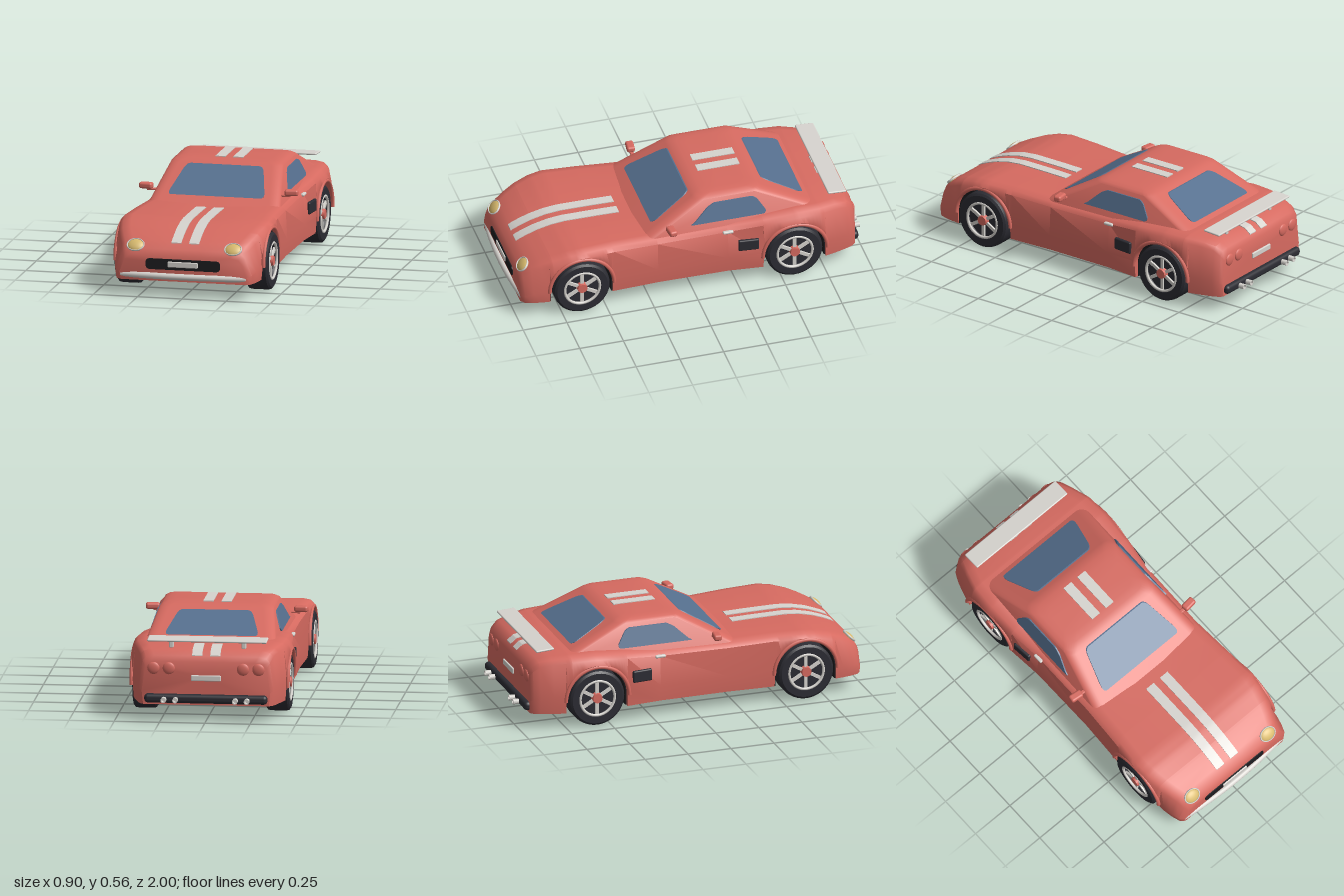
import * as THREE from 'three';
import { toCreasedNormals } from 'three/addons/utils/BufferGeometryUtils.js';
import { RoundedBoxGeometry } from 'three/addons/geometries/RoundedBoxGeometry.js';

const mat = (name, color, side = THREE.FrontSide) => {
  const m = new THREE.MeshStandardMaterial({ color, side });
  m.name = name;
  return m;
};
const paint = mat('coral paint', 0xd66a60);
const glass = mat('blue glass', 0x56708f);
const rubber = mat('dark rubber', 0x2c2c33);
const black = mat('black lining', 0x1d1d20);
const silver = mat('pale silver', 0xd6d3ce);
const lens = mat('yellow lens', 0xd8ba6e);

// Body stations: z, half width, deck height, centre dip, inset of the upper edge
const KEYS = [
  [0.975, 0.36, 0.235, 0, 0.03], [0.955, 0.385, 0.265, 0, 0.04], [0.91, 0.4, 0.3, 0, 0.04],
  [0.86, 0.41, 0.325, 0.003, 0.03], [0.8, 0.415, 0.35, 0.006, 0.015], [0.72, 0.422, 0.373, 0.01, 0.005],
  [0.64, 0.425, 0.385, 0.014, 0], [0.45, 0.415, 0.385, 0.015, 0.005], [0.2, 0.405, 0.375, 0.01, 0.01],
  [-0.2, 0.41, 0.38, 0, 0.012], [-0.4, 0.43, 0.4, 0, 0.008], [-0.6, 0.44, 0.415, 0, 0.012],
  [-0.72, 0.435, 0.412, 0, 0.015], [-0.82, 0.41, 0.402, 0, 0.02], [-0.89, 0.388, 0.388, 0, 0.02],
  [-0.925, 0.372, 0.36, 0, 0.02], [-0.94, 0.355, 0.33, 0, 0.02],
];
const AXLES = [0.64, -0.575], ARCH = 0.178, AXLE_Y = 0.16, FLOOR = 0.09;

function station(z) {
  let i = 0;
  while (i < KEYS.length - 2 && z < KEYS[i + 1][0]) i++;
  const [a, b] = [KEYS[i], KEYS[i + 1]];
  const t = THREE.MathUtils.clamp((a[0] - z) / (a[0] - b[0]), 0, 1);
  return a.map((v, k) => v + (b[k] - v) * t);
}
const deck = z => { const s = station(z); return s[2] - s[3]; };

// Skin between rings that run counter-clockwise seen from the first ring's side
function loft(rings) {
  const pos = [], n = rings[0].length;
  const tri = (...p) => p.forEach(v => pos.push(v.x, v.y, v.z));
  const mid = r => r.reduce((s, v) => s.add(v), new THREE.Vector3()).divideScalar(n);
  const first = rings[0], last = rings[rings.length - 1], c0 = mid(first), c1 = mid(last);
  for (let j = 0; j < n; j++) {
    const k = (j + 1) % n;
    for (let i = 0; i < rings.length - 1; i++) {
      const [a, b] = [rings[i], rings[i + 1]];
      tri(a[j], b[j], a[k]);
      tri(a[k], b[j], b[k]);
    }
    tri(c0, first[j], first[k]);
    tri(c1, last[k], last[j]);
  }
  const g = new THREE.BufferGeometry();
  g.setAttribute('position', new THREE.Float32BufferAttribute(pos, 3));
  return toCreasedNormals(g, 0.7);
}

function bodyRing(z) {
  const [, w, h, dip, inset] = station(z);
  let b = FLOOR;
  for (const c of AXLES) {
    const d = Math.abs(z - c);
    if (d < ARCH) b = AXLE_Y + Math.sqrt(ARCH * ARCH - d * d);
  }
  const hs = h - 0.03;
  const half = [[w - 0.008, b], [w, b + 0.35 * (hs - b)], [w - inset, hs],
    [w - inset - 0.02, h - 0.009], [w - inset - 0.065, h], [0.1, h - dip]];
  const pts = [[0, b], ...half, [0, h - dip], ...half.map(([x, y]) => [-x, y]).reverse()];
  return pts.map(([x, y]) => new THREE.Vector3(x, y, z));
}

function bodyGeometry() {
  const zs = KEYS.map(k => k[0]);
  for (const c of AXLES) {
    for (const s of [-1, 1]) zs.push(c + s * ARCH * 1.001);
    for (let i = 0; i <= 20; i++) zs.push(c + 0.999 * ARCH * Math.cos(i * Math.PI / 20));
  }
  return loft(zs.sort((a, b) => b - a).map(bodyRing));
}

// Cabin planes, straight from sill to roof edge
const along = (y, lo, hi) => lo + (hi - lo) * (y - 0.36) / 0.175;
const cabinFront = y => along(y, 0.275, -0.03);
const cabinBack = y => along(y, -0.81, -0.43);
const cabinSide = y => along(y, 0.372, 0.315);

function cabinGeometry() {
  const ring = (y, zf, zb, hw) => {
    const r = 0.055, pts = [];
    [[1, zb], [-1, zb], [-1, zf], [1, zf]].forEach(([sx, z], q) => {
      for (let i = 0; i <= 6; i++) {
        const a = (q + i / 6) * Math.PI / 2;
        pts.push(new THREE.Vector3(sx * (hw - r) + r * Math.cos(a), y, z + (z === zb ? r : -r) - r * Math.sin(a)));
      }
    });
    return pts;
  };
  const wall = y => ring(y, cabinFront(y), cabinBack(y), cabinSide(y));
  return loft([ring(0.556, -0.13, -0.33, 0.24), ring(0.553, -0.085, -0.375, 0.275),
    ring(0.546, -0.05, -0.41, 0.3), wall(0.535), wall(0.36)]);
}

// Polygon with softened corners
function softShape(pts, r) {
  const s = new THREE.Shape(), v = pts.map(p => new THREE.Vector2(...p));
  v.forEach((p, i) => {
    const to = q => p.clone().add(q.clone().sub(p).setLength(r));
    const a = to(v[(i + v.length - 1) % v.length]), b = to(v[(i + 1) % v.length]);
    if (i) s.lineTo(a.x, a.y); else s.moveTo(a.x, a.y);
    s.quadraticCurveTo(p.x, p.y, b.x, b.y);
  });
  s.closePath();
  return s;
}
const slab = (pts, r, depth) => new THREE.ExtrudeGeometry(softShape(pts, r), { depth, bevelEnabled: false, curveSegments: 8 });
const rect = (w, h) => [[-w / 2, -h / 2], [w / 2, -h / 2], [w / 2, h / 2], [-w / 2, h / 2]];

// Moves every vertex by a rule
function warp(g, rule) {
  const p = g.attributes.position, v = new THREE.Vector3();
  for (let i = 0; i < p.count; i++) {
    rule(v.fromBufferAttribute(p, i));
    p.setXYZ(i, v.x, v.y, v.z);
  }
  g.computeVertexNormals();
  return g;
}

export function createModel() {
  const car = new THREE.Group();
  car.name = 'sportsCar';
  const add = (parent, name, geo, material, x = 0, y = 0, z = 0) => {
    const m = new THREE.Mesh(geo, material);
    m.name = name;
    m.position.set(x, y, z);
    parent.add(m);
    return m;
  };
  const box = (w, h, d, r) => new RoundedBoxGeometry(w, h, d, 3, r);

  add(car, 'body', bodyGeometry(), paint);
  add(car, 'cabin', cabinGeometry(), paint);

  // Windscreens lie on the sloping cabin ends
  const screen = (y0, y1, w0, w1) => [[-w0, y0], [w0, y0], [w1, y1], [-w1, y1]];
  add(car, 'windscreen', warp(slab(screen(0.405, 0.534, 0.275, 0.215), 0.025, 0.008),
    v => { v.z += cabinFront(v.y) - 0.001; }), glass);
  add(car, 'rearWindow', warp(slab(screen(0.428, 0.528, 0.262, 0.2), 0.025, 0.008),
    v => { v.z += cabinBack(v.y) - 0.007; }), glass);

  // Twin stripes follow the bonnet, roof and tail
  for (const x of [-0.05, 0.05]) {
    for (const [name, z0, z1, top] of [['bonnetStripe', 0.92, 0.33, deck], ['roofStripe', -0.12, -0.36, () => 0.5555], ['tailStripe', -0.8, -0.925, deck]]) {
      const g = new THREE.BoxGeometry(0.056, 0.009, z0 - z1, 1, 1, 32).translate(x, 0, (z0 + z1) / 2);
      add(car, name, toCreasedNormals(warp(g, v => { v.y += top(v.z); }), 0.6), silver);
    }
  }

  // Nose
  const bumper = new THREE.CapsuleGeometry(0.0175, 0.7, 6, 16, 24).rotateZ(Math.PI / 2);
  add(car, 'frontBumper', warp(bumper, v => { v.z -= 0.025 * (v.x / 0.37) ** 2; }), silver, 0, 0.118, 0.982);
  add(car, 'grille', slab(rect(0.42, 0.06), 0.025, 0.008), black, 0, 0.185, 0.972);
  add(car, 'frontPlate', box(0.17, 0.032, 0.014, 0.005), silver, 0, 0.186, 0.98);

  // Tail
  add(car, 'rearBumper', box(0.68, 0.05, 0.05, 0.02), rubber, 0, 0.125, -0.942);
  add(car, 'rearPlate', box(0.165, 0.032, 0.014, 0.005), silver, 0, 0.24, -0.942);
  add(car, 'spoilerWing', box(0.66, 0.012, 0.105, 0.006), silver, 0, 0.439, -0.845).rotation.x = -0.06;

  // Wheel arch linings
  for (const z of AXLES) {
    const s = new THREE.Shape(), inner = ARCH - 0.006, y0 = FLOOR - AXLE_Y;
    s.moveTo(ARCH, y0).lineTo(ARCH, 0).absarc(0, 0, ARCH, 0, Math.PI, false).lineTo(-ARCH, y0);
    s.lineTo(-inner, y0).lineTo(-inner, 0).absarc(0, 0, inner, Math.PI, 0, true).lineTo(inner, y0);
    const g = new THREE.ExtrudeGeometry(s, { depth: 0.8, bevelEnabled: false, curveSegments: 24 });
    add(car, 'archLining', g.translate(0, 0, -0.4).rotateY(Math.PI / 2), black, 0, AXLE_Y, z);
  }

  // Tyre profile: radius, distance along the axle
  const tyre = new THREE.LatheGeometry([[0, -0.06], [0.1, -0.06], [0.105, -0.065], [0.145, -0.065], [0.157, -0.056], [0.16, -0.04],
    [0.16, 0.04], [0.157, 0.056], [0.145, 0.065], [0.108, 0.065], [0.1, 0.04], [0, 0.04]].map(p => new THREE.Vector2(...p)), 40);

  for (const side of [1, -1]) {
    const half = new THREE.Group();
    half.name = side > 0 ? 'leftSide' : 'rightSide';
    half.scale.x = side;
    car.add(half);

    AXLES.forEach((z, i) => {
      const wheel = new THREE.Group();
      wheel.name = i ? 'rearWheel' : 'frontWheel';
      wheel.position.set(0.366, AXLE_Y, z);
      wheel.rotation.z = -Math.PI / 2;
      half.add(wheel);
      add(wheel, 'tyre', toCreasedNormals(tyre, 0.6), rubber);
      add(wheel, 'innerDisc', new THREE.CylinderGeometry(0.105, 0.105, 0.006, 32), silver, 0, -0.064);
      add(wheel, 'rim', new THREE.TorusGeometry(0.1, 0.008, 8, 40).rotateX(Math.PI / 2), silver, 0, 0.06);
      for (let k = 0; k < 6; k++) {
        const spoke = new THREE.BoxGeometry(0.08, 0.012, 0.018).translate(0.06, 0.05, 0).rotateY(k * Math.PI / 3);
        add(wheel, 'spoke', spoke, silver);
      }
      add(wheel, 'hub', new THREE.CylinderGeometry(0.027, 0.031, 0.03, 24), paint, 0, 0.053);

      // Raised lip round the arch
      const lip = new THREE.TorusGeometry(ARCH + 0.006, 0.011, 8, 32, Math.PI).rotateY(Math.PI / 2);
      add(half, 'archLip', lip, paint, station(z)[1] - 0.007, AXLE_Y, z);
    });

    const sideShape = [[0.0, 0.408], [0.02, 0.418], [0.1, 0.492], [0.14, 0.512], [0.36, 0.512], [0.385, 0.495], [0.43, 0.425], [0.42, 0.408]];
    const pane = slab(sideShape, 0.008, 0.008).rotateY(Math.PI / 2);
    add(half, 'sideWindow', warp(pane, v => { v.x += cabinSide(v.y) - 0.001; }), glass);

    add(half, 'sideIntake', box(0.022, 0.068, 0.115, 0.008), rubber, 0.42, 0.258, -0.312).rotation.y = -0.1;
    add(half, 'doorHandle', box(0.022, 0.016, 0.06, 0.007), silver, 0.4, 0.35, -0.2);

    add(half, 'mirrorStalk', box(0.075, 0.012, 0.022, 0.005), paint, 0.368, 0.411, 0.125);
    add(half, 'mirror', box(0.076, 0.034, 0.045, 0.012), paint, 0.41, 0.43, 0.125).rotation.y = 0.12;

    // Headlight with a pale surround
    const lamp = new THREE.Group();
    lamp.name = 'headlight';
    lamp.position.set(0.275, 0.275, 0.937);
    lamp.rotation.x = -0.8;
    half.add(lamp);
    add(lamp, 'surround', new THREE.TorusGeometry(0.047, 0.004, 8, 32).scale(1, 0.82, 1.5), silver, 0, 0, 0.006);
    add(lamp, 'lens', new THREE.SphereGeometry(1, 28, 16).scale(0.047, 0.039, 0.018), lens);

    for (const x of [0.205, 0.29]) add(half, 'tailLight', new THREE.SphereGeometry(1, 24, 12).scale(0.034, 0.034, 0.012), paint, x, 0.292, -0.94);
    for (const x of [0.165, 0.23]) {
      const pipe = new THREE.LatheGeometry([[0.009, -0.02], [0.015, -0.02], [0.015, 0.025], [0.01, 0.025], [0.009, 0.0], [0, 0]]
        .map(p => new THREE.Vector2(...p)), 20);
      add(half, 'exhaust', toCreasedNormals(pipe, 0.6).rotateX(-Math.PI / 2), silver, x, 0.122, -0.975);
    }
    add(half, 'spoilerLeg', box(0.025, 0.05, 0.035, 0.006), silver, 0.2, 0.415, -0.845);
  }
  return car;
}
